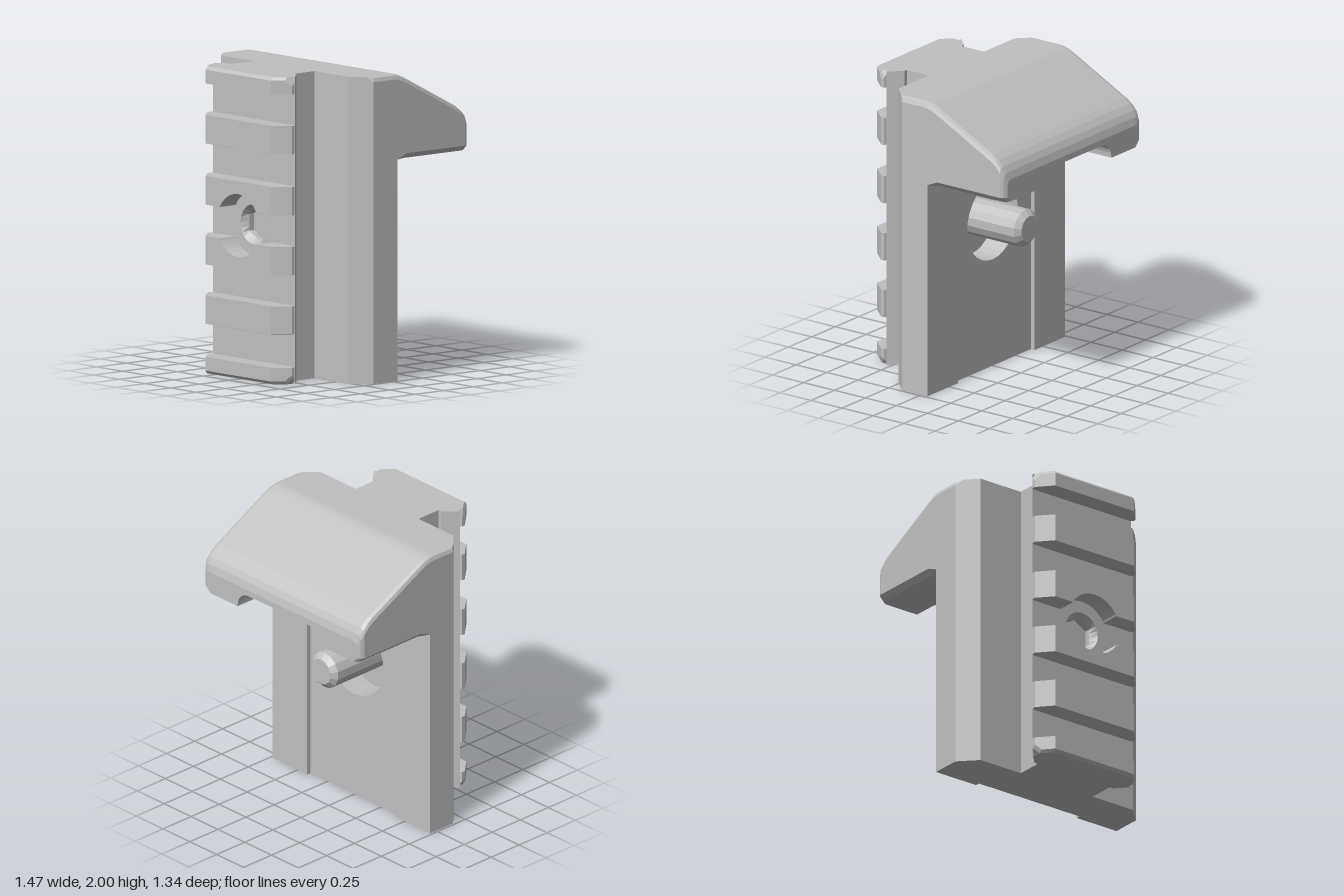
import * as THREE from 'three';

const steel = new THREE.MeshStandardMaterial({ color: 0xc0c0c0, side: THREE.DoubleSide });
steel.name = 'grey metal';

const flat = (geo) => {
  const g = geo.index ? geo.toNonIndexed() : geo;
  g.computeVertexNormals();
  return g;
};

// Solid through matching cross-sections. Each section is [position, [[u, v], ...]];
// axis 'z' uses (u, v) = (x, y), axis 'x' uses (u, v) = (y, z).
function loft(axis, sections, { capStart = true, capEnd = true, inside = false } = {}) {
  let list = sections.map(([p, pts]) => ({ p, pts: pts.map(([u, v]) => new THREE.Vector2(u, v)) }));
  if (list[0].p > list[list.length - 1].p) list.reverse();
  list.forEach((s) => { if (THREE.ShapeUtils.area(s.pts) < 0) s.pts.reverse(); });
  const out = [];
  const put = (s, q) => (axis === 'z' ? [q.x, q.y, s.p] : [s.p, q.x, q.y]);
  const tri = (a, b, c) => out.push(...(inside ? [...a, ...c, ...b] : [...a, ...b, ...c]));
  for (let i = 0; i < list.length - 1; i++) {
    const s = list[i], t = list[i + 1], n = s.pts.length;
    for (let j = 0; j < n; j++) {
      const k = (j + 1) % n;
      const a = put(s, s.pts[j]), b = put(s, s.pts[k]), c = put(t, t.pts[k]), d = put(t, t.pts[j]);
      tri(a, b, c);
      tri(a, c, d);
    }
  }
  const cap = (s, up) => THREE.ShapeUtils.triangulateShape(s.pts, []).forEach((f) => {
    const q = f.map((i) => s.pts[i]);
    if ((THREE.ShapeUtils.area(q) > 0) !== up) q.reverse();
    tri(...q.map((v) => put(s, v)));
  });
  if (capStart) cap(list[0], false);
  if (capEnd) cap(list[list.length - 1], true);
  const g = new THREE.BufferGeometry();
  g.setAttribute('position', new THREE.Float32BufferAttribute(out, 3));
  return flat(g);
}

// Right half of an outline, mirrored to a full one
const mirror = (half) => [...half, ...half.map(([x, y]) => [-x, y]).reverse()];
const topCorner = (w, y, t) => [[w, y - t], [w - t * 0.3, y - t * 0.3], [w - t, y]];

export function createModel() {
  const model = new THREE.Group();
  const add = (name, geo) => {
    const m = new THREE.Mesh(geo, steel);
    m.name = name;
    model.add(m);
    return m;
  };
  const W = 0.735, CH = 0.41, CY = 0.995;
  const bodyOutline = (w, t) => mirror([[w, 0], ...topCorner(w, 2, t)]);

  // Main plate with the round pocket for the bolt
  const plate = new THREE.Shape(bodyOutline(W, 0.035).map(([x, y]) => new THREE.Vector2(x, y)));
  plate.holes.push(new THREE.Path().absarc(0, CY, 0.27, 0, Math.PI * 2, true));
  const plateGeo = new THREE.ExtrudeGeometry(plate, { depth: 0.175, bevelEnabled: false, curveSegments: 14 });
  add('bodyPlate', flat(plateGeo.translate(0, 0, -0.02)));

  // Front of the body with chamfered sides
  add('bodyFront', loft('z', [
    [0.155, bodyOutline(W, 0.035)],
    [0.19, bodyOutline(0.7, 0.0005)],
    [0.27, bodyOutline(0.62, 0.0005)],
  ]));

  // Raised strips either side of the shallow back channel
  for (const s of [1, -1]) {
    const strip = new THREE.BoxGeometry(W - CH, 1.44, 0.03);
    add('backStrip', strip.translate(s * (W + CH) / 2, 0.72, -0.035));
  }

  // Overhanging hook, with the arched channel running through its underside
  const R = 0.1, archTop = 1.55;
  const arch = [];
  for (let i = 0; i <= 6; i++) {
    const a = (i / 6) * Math.PI / 2;
    arch.push([CH - R + R * Math.cos(a), archTop - R + R * Math.sin(a)]);
  }
  const hookSection = ([z, top, w, b]) => [z, mirror([
    ...[...arch].reverse(), [CH, 1.44], [w - b, 1.44], [w, 1.44 + b], ...topCorner(w, top, 0.035),
  ])];
  add('hook', loft('z', [
    [-0.02, 2, W, 0.0005],
    [-0.05, 1.997, W, 0.0005],
    [-0.09, 1.985, W, 0.018],
    [-0.13, 1.967, W, 0.035],
    [-0.17, 1.947, W, 0.035],
    [-0.56, 1.745, W, 0.035],
    [-0.6, 1.718, W, 0.035],
    [-0.635, 1.68, W, 0.035],
    [-0.657, 1.64, 0.722, 0.035],
    [-0.67, 1.59, 0.7, 0.035],
  ].map(hookSection)));

  // Neck and dovetail rail base
  add('railNeck', new THREE.BoxGeometry(0.585, 2, 0.18).translate(0, 1, 0.36));
  const rect = (w) => [[-w, 0], [w, 0], [w, 2], [-w, 2]];
  add('railBase', loft('z', [[0.45, rect(0.32)], [0.535, rect(0.4)]], { capEnd: false }));
  const face = new THREE.Shape(rect(0.4).map(([x, y]) => new THREE.Vector2(x, y)));
  face.holes.push(new THREE.Path().absarc(0, CY, 0.13, 0, Math.PI * 2, true));
  add('railFace', new THREE.ShapeGeometry(face, 24).translate(0, 0, 0.535));

  // Hexagonal socket sunk in the rail face
  const ring = (radius) => Array.from({ length: 24 }, (_, i) => {
    const a = (i / 24) * Math.PI * 2, r = radius(a);
    return [r * Math.cos(a), CY + r * Math.sin(a)];
  });
  const hex = (a) => 0.095 / Math.cos(((a + Math.PI / 6) % (Math.PI / 3)) - Math.PI / 6);
  add('hexSocket', loft('z', [
    [0.535, ring(() => 0.13)], [0.49, ring(hex)], [0.42, ring(hex)],
  ], { capEnd: false, inside: true }));

  // Rail teeth: lofted across the width; the middle pair has a round notch
  function tooth(lo, hi, { chamfer = 0.0005, notch = false, flip = false } = {}) {
    const xs = [-0.41, -0.38, -0.32];
    const edge = Math.sqrt(0.205 ** 2 - 0.105 ** 2);
    for (let i = 0; i <= 12; i++) xs.push(-edge * Math.cos((i / 12) * Math.PI));
    xs.push(0.32, 0.38, 0.41);
    return loft('x', xs.map((x) => {
      const ax = Math.abs(x);
      const top = Math.min(0.67, 0.67 - (ax - 0.32) * 1.11);
      const base = ax > 0.4 ? 0.545 : 0.53;
      let y = lo;
      if (notch && ax < edge) y = Math.max(lo, 1 + Math.sqrt(0.205 ** 2 - x * x));
      if (chamfer > 0.01 && ax > 0.4) y += 0.04;
      const pts = [[y, base], [y, top - chamfer], [y + chamfer, top], [hi, top], [hi, base]];
      return [x, pts.map(([v, z]) => [flip ? 2 - v : v, z])];
    }));
  }
  for (const flip of [false, true]) {
    add('endTooth', tooth(0, 0.11, { chamfer: 0.02, flip }));
    add('railTooth', flip ? tooth(1.5, 1.685) : tooth(0.325, 0.51));
    add('notchedTooth', tooth(1.102, 1.288, { notch: true, flip }));
  }

  // Bolt standing out of the back pocket
  const profile = [[0, -0.16], [0.125, -0.16], [0.125, 0.285], [0.088, 0.32], [0, 0.32]];
  const bolt = new THREE.LatheGeometry(profile.map(([r, y]) => new THREE.Vector2(r, y)), 14);
  add('bolt', flat(bolt.rotateX(-Math.PI / 2).translate(0, CY, 0)));

  return model;
}
